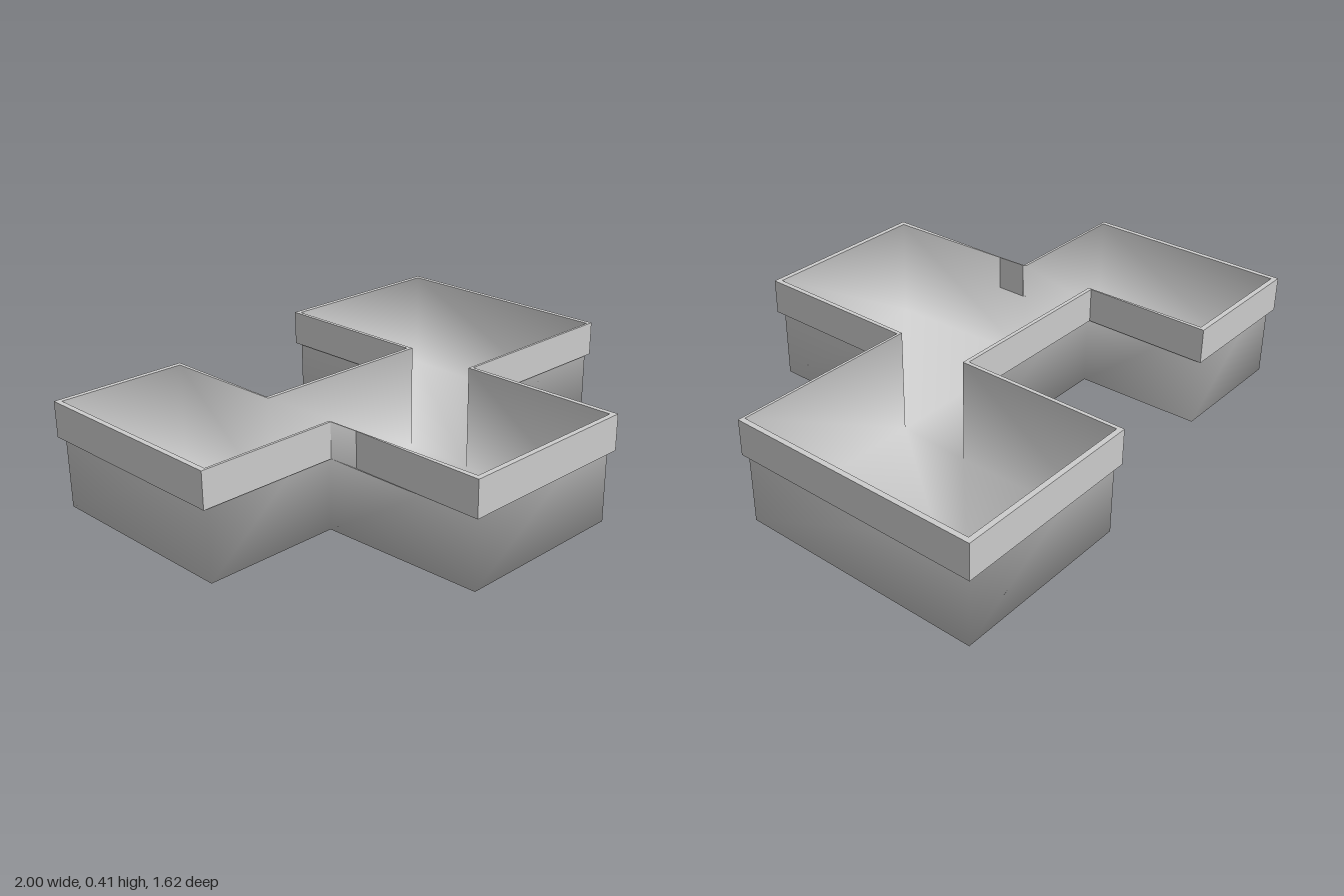
import * as THREE from 'three';

// Plan outlines as [x, z] corners, clockwise seen from above
const rimOutline = [
  [-1, -0.66], [-0.46, -0.66], [-0.46, -0.165], [0.25, -0.165],
  [0.25, -0.81], [1, -0.81], [1, 0.16], [0.265, 0.16],
  [0.265, 0.805], [-0.455, 0.805], [-0.455, 0.16], [-1, 0.16],
];
const bodyOutline = [
  [-0.98, -0.64], [-0.475, -0.64], [-0.465, -0.15], [0.265, -0.15],
  [0.265, -0.79], [0.98, -0.79], [0.98, 0.15], [0.25, 0.15],
  [0.245, 0.785], [-0.435, 0.785], [-0.46, 0.15], [-0.98, 0.15],
];
const TOP = 0.405, RIM_BOTTOM = 0.27;

// Joins a stack of { outline, y } loops with quads
function loft(loops) {
  const n = loops[0].outline.length;
  const positions = loops.flatMap(({ outline, y }) => outline.flatMap(([x, z]) => [x, y, z]));
  const index = [];
  for (let k = 0; k < loops.length - 1; k++) {
    for (let i = 0; i < n; i++) {
      const a = k * n + i, b = k * n + (i + 1) % n;
      index.push(b, a, a + n, b, a + n, b + n);
    }
  }
  const geometry = new THREE.BufferGeometry();
  geometry.setAttribute('position', new THREE.Float32BufferAttribute(positions, 3));
  geometry.setIndex(index);
  return geometry;
}

export function createModel() {
  const group = new THREE.Group();
  group.name = 'basin';
  const material = new THREE.MeshStandardMaterial({ color: 0xcccccc, side: THREE.DoubleSide });

  function add(name, geometry) {
    geometry.computeVertexNormals();
    const mesh = new THREE.Mesh(geometry, material);
    mesh.name = name;
    group.add(mesh);
  }

  // Thin open tub: walls and floor share corners, so the shading blends smoothly
  const tub = loft([{ outline: bodyOutline, y: 0 }, { outline: bodyOutline, y: TOP }]);
  const contour = bodyOutline.map(([x, z]) => new THREE.Vector2(x, z));
  const floor = THREE.ShapeUtils.triangulateShape(contour, []).flat();
  tub.setIndex([...tub.index.array, ...floor]);
  add('tub', tub);

  // Overhanging rim: underside, outer face and top, with crisp edges
  const rim = loft([
    { outline: bodyOutline, y: RIM_BOTTOM },
    { outline: rimOutline, y: RIM_BOTTOM },
    { outline: rimOutline, y: TOP },
    { outline: bodyOutline, y: TOP },
  ]);
  add('rim', rim.toNonIndexed());

  return group;
}
